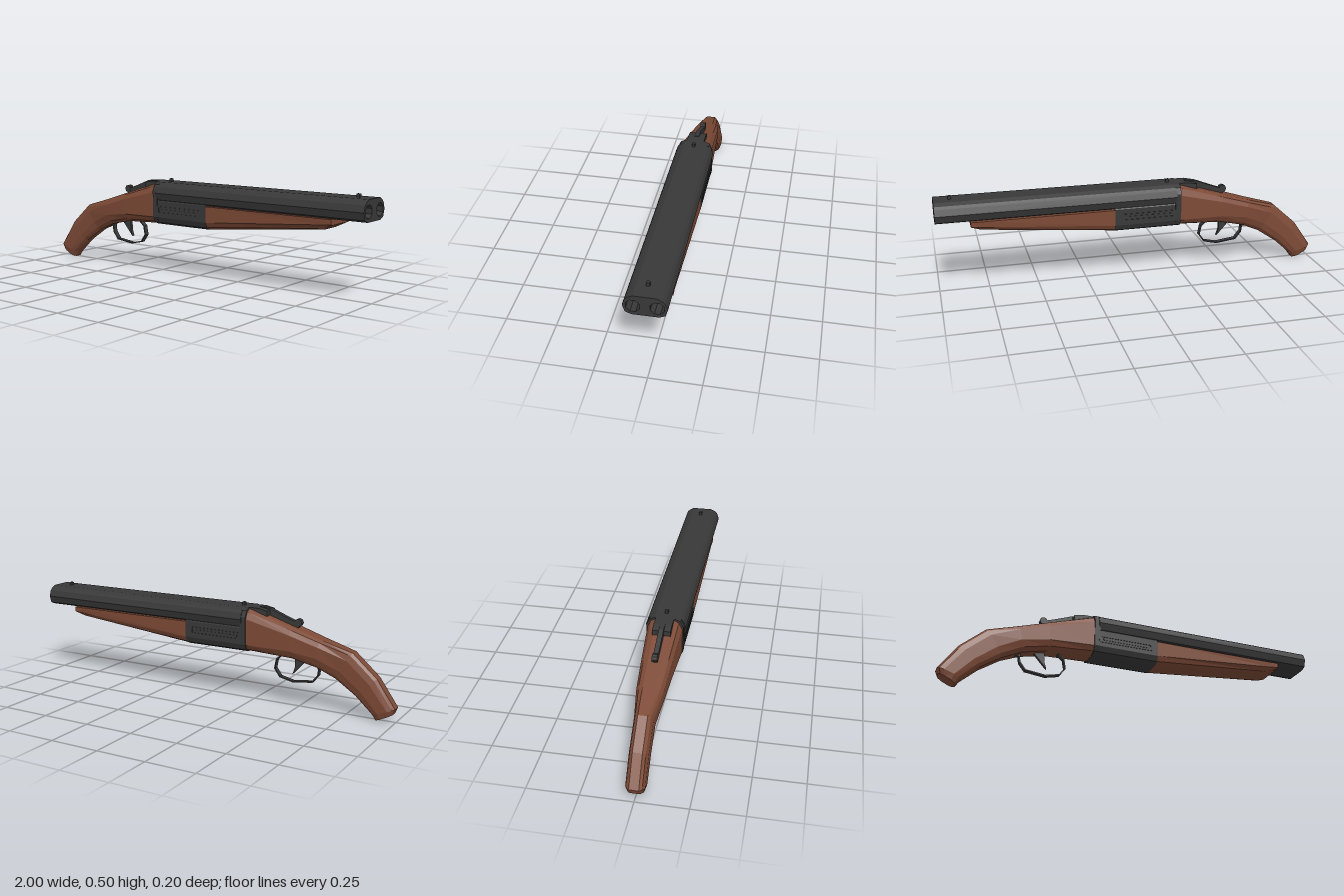
import * as THREE from 'three';

const wood = new THREE.MeshStandardMaterial({ color: 0x7d4a36, flatShading: true });
const metal = new THREE.MeshStandardMaterial({ color: 0x383838, flatShading: true });

// Skin a list of rings (arrays of [x, y, z]) ordered along +x, with end caps.
function loft(rings) {
  const pos = [];
  const tri = (a, b, c) => pos.push(...a, ...b, ...c);
  const n = rings[0].length;
  for (let i = 0; i < rings.length - 1; i++) {
    for (let j = 0; j < n; j++) {
      const k = (j + 1) % n;
      const a = rings[i][j], b = rings[i][k], c = rings[i + 1][j], d = rings[i + 1][k];
      tri(a, c, b);
      tri(b, c, d);
    }
  }
  const first = rings[0], last = rings[rings.length - 1];
  for (let j = 1; j < n - 1; j++) {
    tri(first[0], first[j], first[j + 1]);
    tri(last[0], last[j + 1], last[j]);
  }
  const g = new THREE.BufferGeometry();
  g.setAttribute('position', new THREE.Float32BufferAttribute(pos, 3));
  g.computeVertexNormals();
  return g;
}

// Mirror a half section, listed bottom to top on the +z side, into a full ring.
function mirrorRing(half) {
  return [...half, ...half.slice().reverse().map(([x, y, z]) => [x, y, -z])];
}

// Straight section at x from [z, y] pairs.
const ringAt = (x, half) => mirrorRing(half.map(([z, y]) => [x, y, z]));

export function createModel() {
  const model = new THREE.Group();
  const add = (name, geometry, material, x = 0, y = 0, z = 0) => {
    const mesh = new THREE.Mesh(geometry, material);
    mesh.name = name;
    mesh.position.set(x, y, z);
    model.add(mesh);
    return mesh;
  };
  // Side profile in x/y, extruded to a width centred on z = 0.
  const plate = (points, width) => {
    const shape = new THREE.Shape(points.map(p => new THREE.Vector2(...p)));
    return new THREE.ExtrudeGeometry(shape, { depth: width, bevelEnabled: false })
      .translate(0, 0, -width / 2);
  };

  // Stock: top x, y; bottom x, y; half width; low and high edge of the flat side
  const stock = [
    [-0.99, 0.042, -0.905, 0.0, 0.036, 0.3, 0.72],
    [-1.0, 0.07, -0.885, 0.03, 0.045, 0.3, 0.72],
    [-0.905, 0.205, -0.8, 0.107, 0.045, 0.3, 0.72],
    [-0.78, 0.315, -0.695, 0.177, 0.045, 0.32, 0.74],
    [-0.62, 0.36, -0.6, 0.22, 0.064, 0.38, 0.78],
    [-0.47, 0.407, -0.47, 0.25, 0.073, 0.28, 0.78],
    [-0.235, 0.48, -0.235, 0.262, 0.086, 0.17, 0.78],
  ].map(([tx, ty, bx, by, w, lo, hi]) => mirrorRing(
    [[0, 0.45], [lo * 0.35, 0.8], [lo, 1], [hi, 1], [hi + (1 - hi) * 0.7, 0.8], [1, 0.5]]
      .map(([t, k]) => [bx + (tx - bx) * t, by + (ty - by) * t, w * k])));
  add('stock', loft(stock), wood);

  // Twin barrel block with two octagonal bores
  const side = [[0.06, 0.38], [0.088, 0.392], [0.099, 0.428], [0.088, 0.46], [0.075, 0.472], [0.053, 0.484]];
  const outline = [...side, ...side.slice().reverse().map(([z, y]) => [-z, y])];
  const barrel = new THREE.Shape(outline.map(p => new THREE.Vector2(...p)));
  for (const s of [-1, 1]) {
    const bore = [];
    for (let i = 0; i < 8; i++) {
      const a = (i + 0.5) * Math.PI / 4;
      bore.push(new THREE.Vector2(s * 0.053 + 0.033 * Math.cos(a), 0.428 + 0.033 * Math.sin(a)));
    }
    barrel.holes.push(new THREE.Path(bore));
    add('borePlug', new THREE.CylinderGeometry(0.034, 0.034, 0.02, 8).rotateZ(Math.PI / 2),
      metal, 0.91, 0.428, s * 0.053);
  }
  add('barrels', new THREE.ExtrudeGeometry(barrel, { depth: 1.215, bevelEnabled: false })
    .rotateY(Math.PI / 2).translate(-0.215, 0, 0), metal);

  // Breech plate behind the barrels
  const breech = [[0.05, 0.26], [0.076, 0.272], [0.09, 0.3], [0.092, 0.44], [0.077, 0.472], [0.053, 0.484]];
  add('breechPlate', loft([ringAt(-0.238, breech), ringAt(-0.208, breech)]), metal);

  // Receiver
  const lower = [[0.05, 0.26], [0.076, 0.272], [0.088, 0.3], [0.088, 0.385], [0.08, 0.4]];
  add('receiver', loft([ringAt(-0.21, lower), ringAt(0.11, lower)]), metal);

  // Raised frame and inner bar on each side of the receiver
  const frame = new THREE.Shape([[-0.215, 0.322], [0.08, 0.322], [0.08, 0.358], [-0.215, 0.358]]
    .map(p => new THREE.Vector2(...p)));
  frame.holes.push(new THREE.Path([[-0.2, 0.328], [-0.2, 0.352], [0.07, 0.352], [0.07, 0.328]]
    .map(p => new THREE.Vector2(...p))));
  for (const s of [-1, 1]) {
    add('receiverFrame', new THREE.ExtrudeGeometry(frame, { depth: 0.006, bevelEnabled: false }),
      metal, 0, 0, s * 0.088 - 0.003);
    add('receiverBar', new THREE.BoxGeometry(0.25, 0.01, 0.004), metal, -0.065, 0.34, s * 0.088);
  }

  // Fore-end, tapering upward to a slanted tip
  add('foreEnd', loft([
    ringAt(0.11, [[0.05, 0.262], [0.074, 0.274], [0.087, 0.3], [0.088, 0.382]]),
    ringAt(0.78, [[0.045, 0.328], [0.065, 0.334], [0.085, 0.353], [0.088, 0.382]]),
    ringAt(0.83, [[0.07, 0.354], [0.08, 0.355], [0.088, 0.358], [0.088, 0.382]]),
  ]), wood);

  // Top tang, opening lever and thumb knob
  add('topTang', plate([[-0.335, 0.43], [-0.23, 0.45], [-0.23, 0.484], [-0.29, 0.484], [-0.335, 0.474]], 0.09), metal);
  add('topLever', plate([[-0.49, 0.395], [-0.28, 0.45], [-0.28, 0.487], [-0.335, 0.483], [-0.42, 0.45], [-0.49, 0.425]], 0.024), metal);
  add('leverKnob', new THREE.CylinderGeometry(0.02, 0.02, 0.026, 8).rotateX(Math.PI / 2), metal, -0.488, 0.426, 0);

  // Trigger guard: flat strip following a bent path
  const guard = [[-0.645, 0.212], [-0.605, 0.21], [-0.6, 0.175], [-0.57, 0.137], [-0.465, 0.124],
    [-0.395, 0.14], [-0.366, 0.18], [-0.375, 0.228], [-0.405, 0.255]];
  for (let i = 0; i < guard.length - 1; i++) {
    const [x0, y0] = guard[i], [x1, y1] = guard[i + 1];
    const strip = add('triggerGuard', new THREE.BoxGeometry(Math.hypot(x1 - x0, y1 - y0) + 0.004, 0.006, 0.026),
      metal, (x0 + x1) / 2, (y0 + y1) / 2, 0);
    strip.rotation.z = Math.atan2(y1 - y0, x1 - x0);
  }
  const post = add('triggerGuardPost', new THREE.BoxGeometry(0.03, 0.006, 0.026), metal, -0.602, 0.222, 0);
  post.rotation.z = Math.PI / 2;

  // Trigger
  add('trigger', plate([[-0.545, 0.255], [-0.51, 0.215], [-0.485, 0.187], [-0.463, 0.163],
    [-0.475, 0.2], [-0.475, 0.255]], 0.016), metal);

  // Rear and front sights
  for (const x of [-0.185, 0.92]) {
    add('sight', new THREE.BoxGeometry(0.016, 0.022, 0.016), metal, x, 0.489, 0);
  }
  return model;
}
